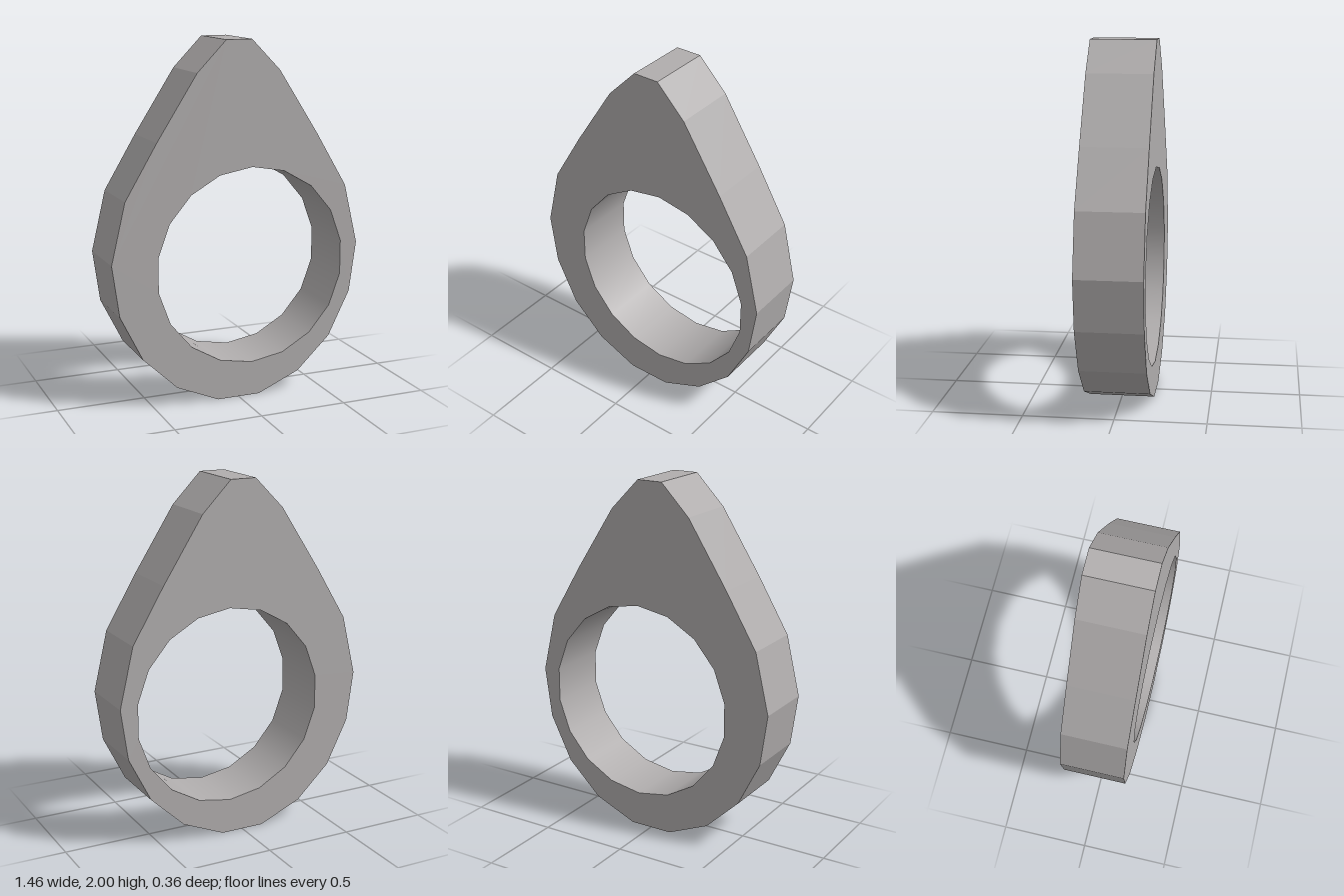
import * as THREE from 'three';

const DEPTH = 0.364;
const HOLE = { x: 0.08, y: 0.752, r: 0.557, sides: 18 };

// Right half of the teardrop outline, from the base up to the blunt tip
const HALF = [
  [0.125, 0], [0.368, 0.104], [0.563, 0.29], [0.69, 0.545], [0.73, 0.832],
  [0.65, 1.17], [0.47, 1.472], [0.24, 1.83], [0.074, 2],
];

export function createModel() {
  const group = new THREE.Group();
  group.name = 'teardropRing';
  const stone = new THREE.MeshStandardMaterial({ color: 0xb0adad });
  stone.name = 'warm grey';

  // Mirrored outline with an off-centre round opening
  const mirrored = HALF.map(([x, y]) => [-x, y]).reverse();
  const shape = new THREE.Shape([...HALF, ...mirrored].map(([x, y]) => new THREE.Vector2(x, y)));
  const opening = [];
  for (let i = 0; i < HOLE.sides; i++) {
    const a = (i / HOLE.sides) * Math.PI * 2;
    opening.push(new THREE.Vector2(HOLE.x + HOLE.r * Math.sin(a), HOLE.y + HOLE.r * Math.cos(a)));
  }
  shape.holes.push(new THREE.Path(opening));

  const geometry = new THREE.ExtrudeGeometry(shape, { depth: DEPTH, bevelEnabled: false });
  geometry.translate(0, 0, -DEPTH / 2);

  // Smooth the opening's wall: normals point at its axis; outer facets stay flat
  const pos = geometry.attributes.position;
  const nor = geometry.attributes.normal;
  for (let i = 0; i < pos.count; i++) {
    const dx = HOLE.x - pos.getX(i);
    const dy = HOLE.y - pos.getY(i);
    const d = Math.hypot(dx, dy);
    const onWall = Math.abs(nor.getZ(i)) < 0.5 && Math.abs(d - HOLE.r) < 1e-4;
    if (onWall) nor.setXYZ(i, dx / d, dy / d, 0);
  }

  const body = new THREE.Mesh(geometry, stone);
  body.name = 'ringBody';
  group.add(body);
  return group;
}
